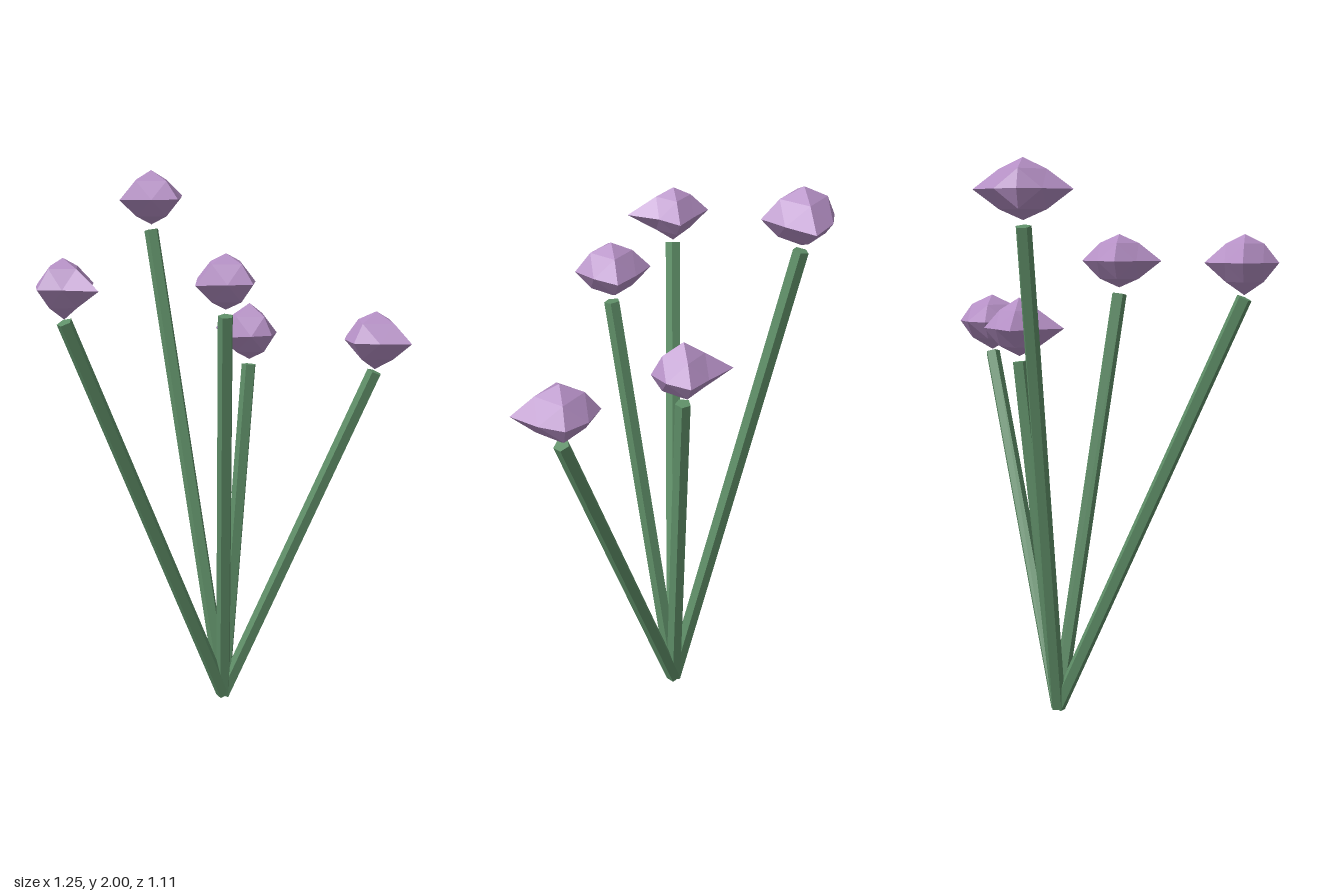
import * as THREE from 'three';

const petalMaterial = new THREE.MeshStandardMaterial({ color: 0xb48fc4, flatShading: true });
const stemMaterial = new THREE.MeshStandardMaterial({ color: 0x5f8f68, flatShading: true });

const BASE = new THREE.Vector3(0.165, 0.012, -0.042);
const STEM_RADIUS = 0.028;
const STEM_GAP = 0.12; // stem tip sits this far below the bud centre

// centre of each bud, reach of its six tips [+x, -x, +y, -y, +z, -z], and spread of its waist corners
const flowers = [
  { at: [0.2, 1.897, -0.45], tips: [0.168, 0.168, 0.103, 0.1, 0.14, 0.107], waist: 0.08 },
  { at: [-0.51, 1.655, -0.16], tips: [0.138, 0.117, 0.097, 0.11, 0.172, 0.132], waist: 0.065 },
  { at: [-0.037, 1.655, 0.145], tips: [0.137, 0.155, 0.097, 0.097, 0.125, 0.135], waist: 0.072 },
  { at: [0.3, 1.417, -0.04], tips: [0.13, 0.163, 0.11, 0.1, 0.11, 0.17], waist: 0.072 },
  { at: [0.497, 1.417, 0.395], tips: [0.127, 0.13, 0.102, 0.11, 0.16, 0.131], waist: 0.08 },
];

// Subdivided octahedron: tips are pulled to their own reach, edge midpoints stay on a rounder waist
function budGeometry(tips, waist) {
  const geometry = new THREE.OctahedronGeometry(1, 1);
  const position = geometry.attributes.position;
  const sign = (n) => (Math.abs(n) < 0.1 ? 0 : Math.sign(n));
  for (let i = 0; i < position.count; i++) {
    const s = [sign(position.getX(i)), sign(position.getY(i)), sign(position.getZ(i))];
    const isTip = s.filter((n) => n !== 0).length === 1;
    const p = s.map((n, axis) => {
      if (isTip) return n * tips[axis * 2 + (n < 0 ? 1 : 0)];
      return n * (axis === 1 ? 0.065 : waist);
    });
    position.setXYZ(i, ...p);
  }
  geometry.computeVertexNormals();
  return geometry;
}

// Straight five-sided stem from the shared base to a point
function makeStem(top) {
  const direction = top.clone().sub(BASE);
  const length = direction.length();
  const stem = new THREE.Mesh(
    new THREE.CylinderGeometry(STEM_RADIUS, STEM_RADIUS, length, 5),
    stemMaterial
  );
  stem.name = 'stem';
  stem.position.copy(BASE).addScaledVector(direction, 0.5);
  stem.quaternion.setFromUnitVectors(new THREE.Vector3(0, 1, 0), direction.normalize());
  return stem;
}

export function createModel() {
  const model = new THREE.Group();
  model.name = 'flowerCluster';
  for (const { at, tips, waist } of flowers) {
    const flower = new THREE.Group();
    flower.name = 'flower';
    const centre = new THREE.Vector3(...at);

    const bud = new THREE.Mesh(budGeometry(tips, waist), petalMaterial);
    bud.name = 'bud';
    bud.position.copy(centre);

    const stemTop = centre.clone();
    stemTop.y -= STEM_GAP;
    flower.add(bud, makeStem(stemTop));
    model.add(flower);
  }
  return model;
}
